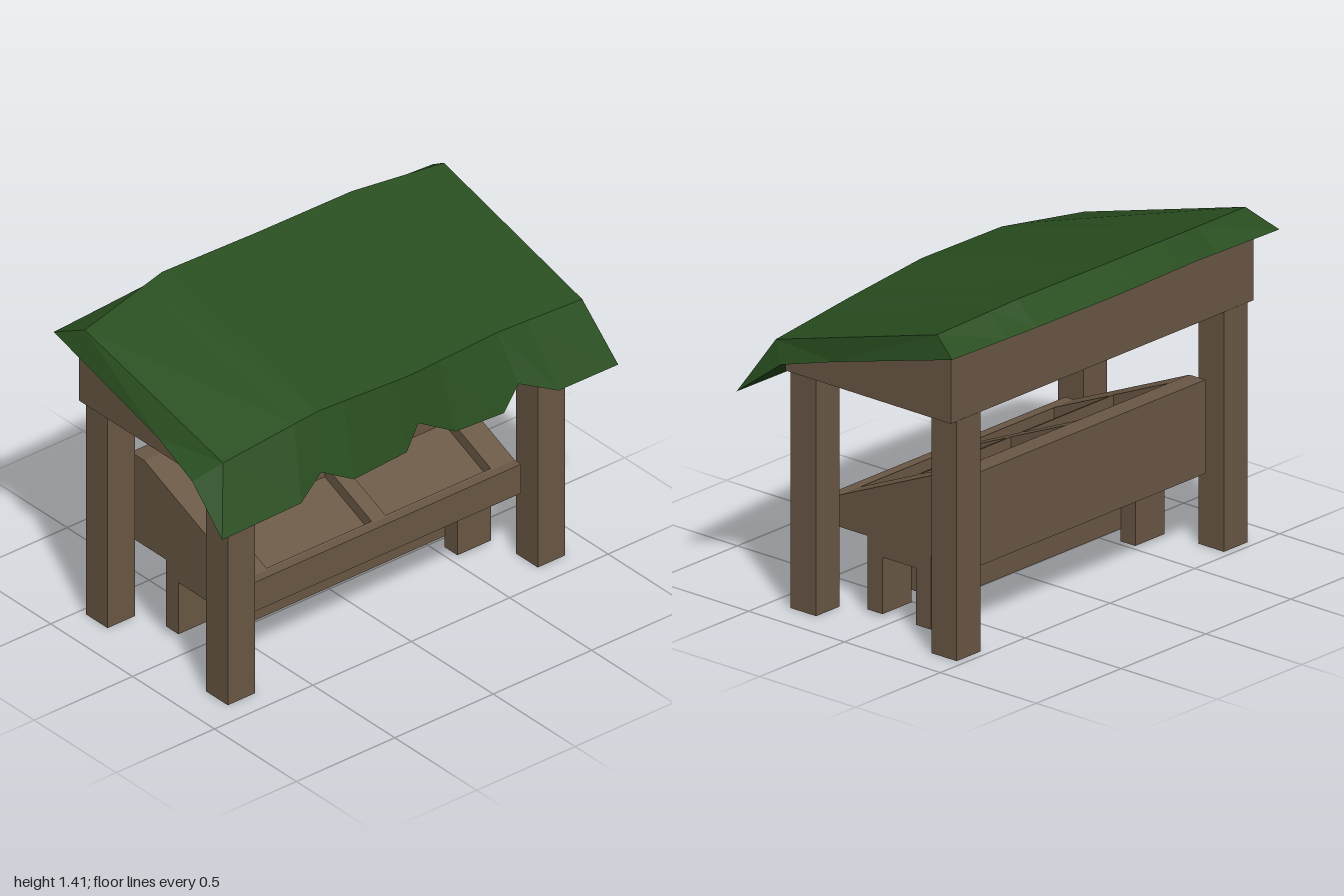
import * as THREE from 'three';

const wood = new THREE.MeshStandardMaterial({ color: 0x6a5845 });
wood.name = 'brownWood';
const cloth = new THREE.MeshStandardMaterial({ color: 0x294e20 });
cloth.name = 'greenCloth';

// Side profile of [z, y] points stretched from x0 to x1
function prism(name, x0, x1, profile) {
  const shape = new THREE.Shape(profile.map(([z, y]) => new THREE.Vector2(-z, y)));
  const geo = new THREE.ExtrudeGeometry(shape, { depth: x1 - x0, bevelEnabled: false });
  geo.rotateY(Math.PI / 2).translate(x0, 0, 0);
  const mesh = new THREE.Mesh(geo, wood);
  mesh.name = name;
  return mesh;
}

function block(name, x0, x1, y0, y1, z0, z1) {
  return prism(name, x0, x1, [[z0, y0], [z1, y0], [z1, y1], [z0, y1]]);
}

// Sloped display counter with flat front and back lips and four sunken trays
function createCounter() {
  const g = new THREE.Group();
  g.name = 'counter';
  const depth = 0.055, x0 = -0.677, x1 = 0.7;
  const front = 0.33, lip = 0.29, ledge = -0.316, back = -0.398;
  const top = z => 0.454 + (lip - Math.max(ledge, Math.min(lip, z))) * 0.4273;
  // Points of the top line between two depths, including the bends
  const topLine = (zf, zb) =>
    [zf, ...[lip, ledge].filter(z => z < zf && z > zb), zb].map(z => [z, top(z)]);
  const lower = pts => pts.map(([z, y]) => [z, y - depth]);
  g.add(prism('counterBody', x0, x1, [[front, 0.32], ...lower(topLine(front, back)), [back, 0.32]]));
  const bar = (name, a, b, zf, zb) => {
    const line = topLine(zf, zb);
    g.add(prism(name, a, b, [...lower(line).reverse(), ...line]));
  };
  for (const [a, b] of [[x0, -0.555], [-0.02, 0.05], [0.585, x1]]) bar('trayDivider', a, b, front, back);
  for (const [a, b] of [[-0.555, -0.02], [0.05, 0.585]]) {
    bar('trayFrontRim', a, b, front, 0.282);
    bar('trayMiddleRim', a, b, -0.004, -0.027);
    bar('trayBackRim', a, b, -0.31, back);
  }
  // Stand below the counter
  g.add(block('standApron', x0, x1, 0.25, 0.32, -0.185, 0.145));
  g.add(block('standCore', -0.505, 0.53, 0.065, 0.25, -0.11, 0.07));
  for (const [a, b] of [[x0, -0.505], [0.53, x1]])
    for (const [c, d] of [[-0.185, -0.108], [0.067, 0.145]])
      g.add(block('standLeg', a, b, 0.012, 0.25, c, d));
  return g;
}

// Thick cloth canopy with a scalloped front edge
function createCanopy() {
  const cols = [-1, -0.6, -0.47, -0.33, -0.05, 0.03, 0.2, 0.43, 0.54, 0.7, 1];
  const keys = [-1, -0.47, 0.03, 0.54, 1];
  const row = pts => cols.map(t => {
    let k = 0;
    while (k < 3 && t > keys[k + 1]) k++;
    const f = (t - keys[k]) / (keys[k + 1] - keys[k]);
    return pts[k].map((v, i) => v + (pts[k + 1][i] - v) * f);
  });
  const scallopY = [0.895, 0.905, 0.978, 0.905, 0.91, 1.0, 0.905, 0.905, 0.975, 0.905, 0.905];
  const scallopZ = [0.547, 0.549, 0.514, 0.547, 0.532, 0.507, 0.532, 0.549, 0.507, 0.559, 0.562];
  const rows = [
    // rear eave, rear ridge, front ridge, front edge, underside fold, underside middle
    row([[-0.945, 1.303, -0.547], [-0.45, 1.312, -0.547], [0, 1.315, -0.565], [0.5, 1.315, -0.56], [0.97, 1.31, -0.535]]),
    row([[-0.91, 1.37, -0.4], [-0.45, 1.415, -0.478], [0.02, 1.411, -0.468], [0.5, 1.411, -0.463], [0.94, 1.38, -0.43]]),
    row([[-0.89, 1.145, 0.42], [-0.43, 1.21, 0.445], [0.02, 1.203, 0.465], [0.5, 1.187, 0.422], [0.95, 1.15, 0.402]]),
    cols.map((x, i) => [x, scallopY[i], scallopZ[i]]),
    row([[-0.988, 1.065, 0.35], [-0.47, 1.072, 0.35], [0.03, 1.072, 0.35], [0.5, 1.072, 0.35], [0.98, 1.065, 0.35]]),
    row([[-0.955, 1.133, 0.1], [-0.47, 1.14, 0.1], [0.03, 1.14, 0.1], [0.5, 1.14, 0.1], [0.952, 1.133, 0.1]]),
  ];
  const pos = [];
  const tri = (a, b, c) => pos.push(...a, ...b, ...c);
  rows.forEach((a, r) => {
    const b = rows[(r + 1) % rows.length];
    for (let i = 0; i < cols.length - 1; i++) {
      tri(a[i], b[i], b[i + 1]);
      tri(a[i], b[i + 1], a[i + 1]);
    }
  });
  // End flaps
  for (const [p, q, r] of [[0, 1, 5], [1, 2, 5], [2, 4, 5], [2, 3, 4]]) {
    tri(rows[p][10], rows[q][10], rows[r][10]);
    tri(rows[r][0], rows[q][0], rows[p][0]);
  }
  const geo = new THREE.BufferGeometry();
  geo.setAttribute('position', new THREE.Float32BufferAttribute(pos, 3));
  geo.computeVertexNormals();
  const mesh = new THREE.Mesh(geo, cloth);
  mesh.name = 'canopy';
  return mesh;
}

export function createModel() {
  const model = new THREE.Group();
  model.name = 'marketStall';
  // Corner posts
  for (const [a, b] of [[-0.849, -0.71], [0.726, 0.865]])
    for (const [c, d] of [[-0.466, -0.334], [0.267, 0.4]])
      model.add(block('post', a, b, 0, 1.005, c, d));
  // Wedge carrying the canopy, overhanging the posts sideways
  model.add(prism('roofWedge', -0.886, 0.898, [[0.397, 1.005], [0.397, 1.04], [0.34, 1.065], [-0.465, 1.29], [-0.465, 1.003]]));
  model.add(createCounter(), createCanopy());
  return model;
}
